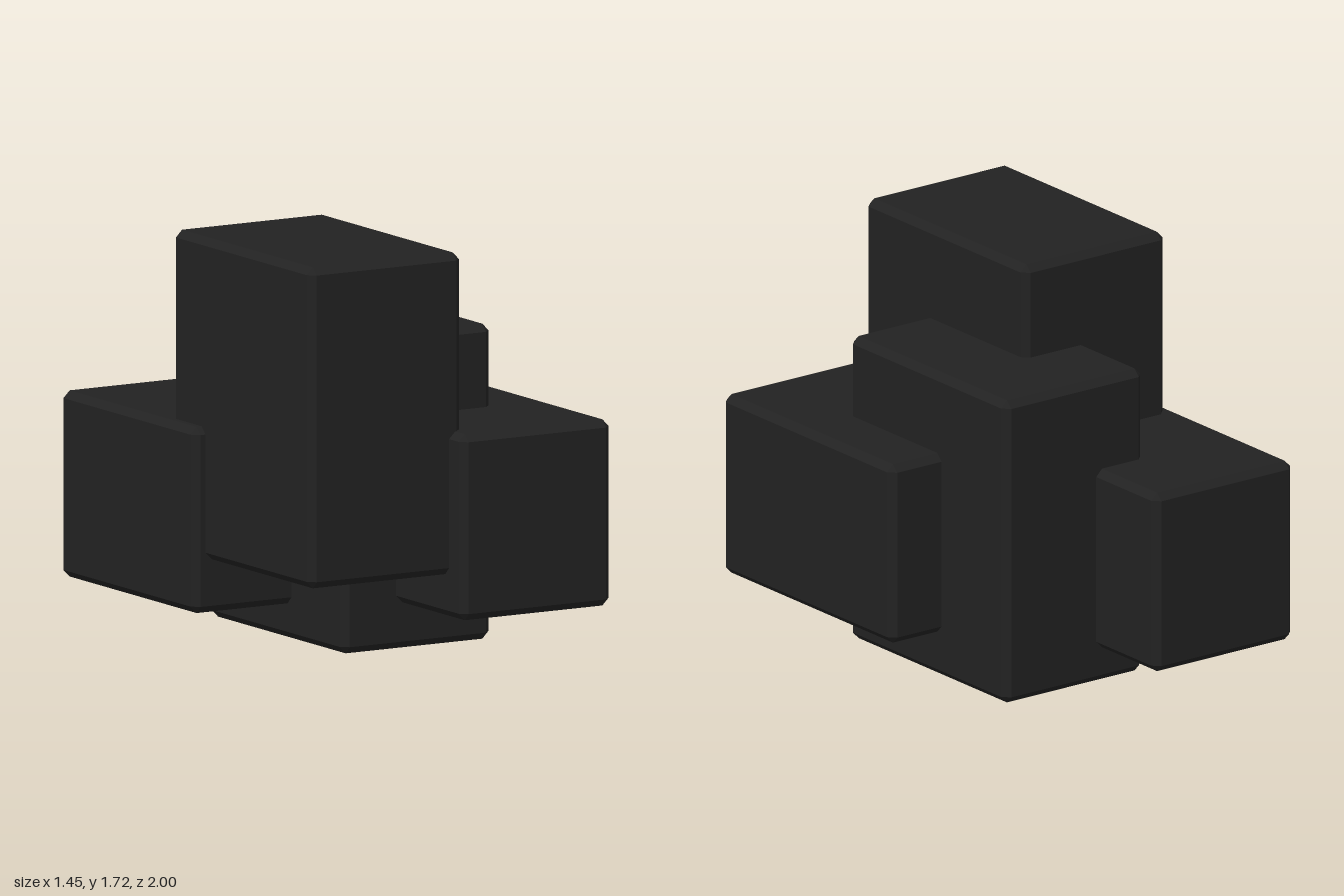
import * as THREE from 'three';
import { ConvexGeometry } from 'three/addons/geometries/ConvexGeometry.js';

const BEVEL = 0.03;

// Box between two corners, with every edge and corner chamfered
function chamferedBox(min, max, bevel) {
  const half = max.clone().sub(min).multiplyScalar(0.5);
  const points = [];
  for (const sx of [-1, 1]) for (const sy of [-1, 1]) for (const sz of [-1, 1]) {
    for (const axis of ['x', 'y', 'z']) {
      // each corner becomes three points, one on each adjoining face
      const p = half.clone().subScalar(bevel);
      p[axis] = half[axis];
      points.push(p.multiply(new THREE.Vector3(sx, sy, sz)));
    }
  }
  return new ConvexGeometry(points);
}

export function createModel() {
  const group = new THREE.Group();
  group.name = 'blockCluster';
  const material = new THREE.MeshStandardMaterial({ color: 0x222222, flatShading: true });

  // Four overlapping blocks: name, lowest corner, highest corner
  const blocks = [
    ['tallBlock', [-0.67, 0.375, -0.2], [0.065, 1.72, 0.895]],
    ['centreBlock', [-0.255, 0, -0.595], [0.465, 1.32, 0.475]],
    ['frontBlock', [0, 0.195, -0.16], [0.725, 0.975, 1]],
    ['backBlock', [-0.725, 0.15, -1], [-0.005, 0.93, 0.065]],
  ];
  for (const [name, low, high] of blocks) {
    const min = new THREE.Vector3(...low);
    const max = new THREE.Vector3(...high);
    const mesh = new THREE.Mesh(chamferedBox(min, max, BEVEL), material);
    mesh.name = name;
    mesh.position.copy(min).add(max).multiplyScalar(0.5);
    group.add(mesh);
  }
  return group;
}
